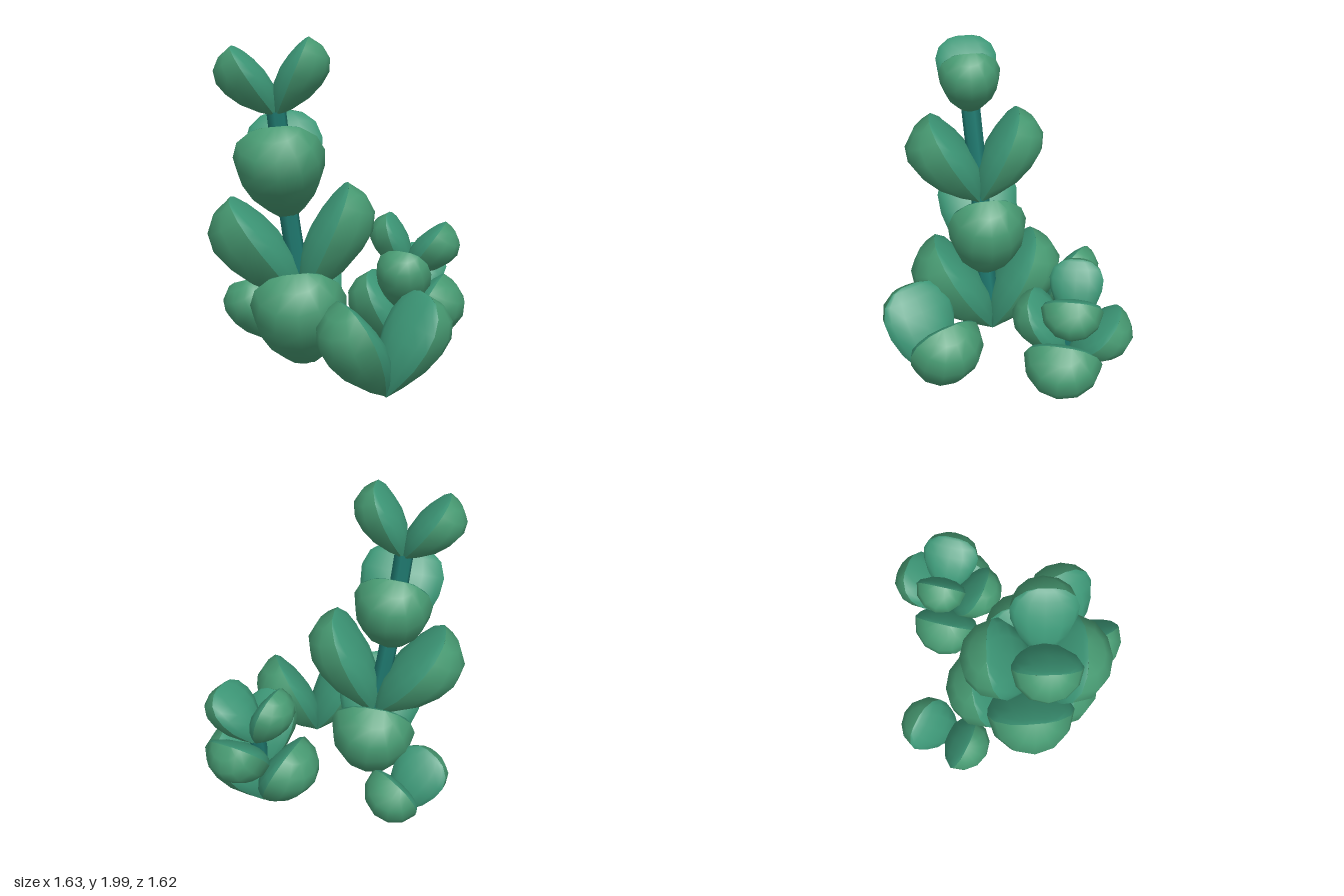
import * as THREE from 'three';

const leafMat = new THREE.MeshStandardMaterial({ color: 0x479a72, side: THREE.DoubleSide });
const innerMat = new THREE.MeshStandardMaterial({ color: 0x3c9676, side: THREE.DoubleSide });
const stemMat = new THREE.MeshStandardMaterial({ color: 0x1f7a70 });

// Unit leaf: rows of [along, half width, outer bulge, inner bulge]
const PROFILE = [
  [0, 0.09, 0, 0], [0.15, 0.23, 0.19, 0.15], [0.35, 0.39, 0.37, 0.23], [0.55, 0.48, 0.47, 0.23],
  [0.72, 0.5, 0.5, 0.18], [0.87, 0.43, 0.43, 0.11], [0.97, 0.27, 0.25, 0.04], [1, 0.13, 0, 0],
];
const COLS = 6;

// One side of the leaf: side 1 is the fat outer side, side -1 the shallower inner side
function leafSide(side) {
  const pos = [], idx = [], n = COLS + 1;
  for (const [t, a, outer, inner] of PROFILE) {
    const bulge = side > 0 ? outer : -inner;
    for (let j = 0; j <= COLS; j++) {
      const phi = (Math.PI * j) / COLS;
      pos.push(-a * Math.cos(phi), t, bulge * Math.sin(phi));
    }
  }
  for (let i = 0; i < PROFILE.length - 1; i++) {
    for (let j = 0; j < COLS; j++) {
      const p = i * n + j, q = p + 1, r = p + n, s = r + 1;
      if (side > 0) idx.push(p, q, s, p, s, r);
      else idx.push(p, s, q, p, r, s);
    }
  }
  const g = new THREE.BufferGeometry();
  g.setAttribute('position', new THREE.Float32BufferAttribute(pos, 3));
  g.setIndex(idx);
  g.computeVertexNormals();
  return g;
}
const outerGeo = leafSide(1);
const innerGeo = leafSide(-1);

// Leaf from base towards tip, its fat side turned away from the opposite leaf
function leaf(base, tip, otherTip, width) {
  const d = tip.clone().sub(base), length = d.length();
  d.normalize();
  const other = otherTip.clone().sub(base).normalize();
  const n = d.clone().sub(other);
  n.addScaledVector(d, -n.dot(d)).normalize();
  const w = d.clone().cross(n);
  const g = new THREE.Group();
  g.name = 'leaf';
  const outer = new THREE.Mesh(outerGeo, leafMat);
  outer.name = 'leafOuterSide';
  const inner = new THREE.Mesh(innerGeo, innerMat);
  inner.name = 'leafInnerSide';
  g.add(outer, inner);
  g.quaternion.setFromRotationMatrix(new THREE.Matrix4().makeBasis(w, d, n));
  g.position.copy(base);
  g.scale.set(width, length, width);
  return g;
}

// Two opposite leaves: [base, tipA, tipB, widthA, widthB]
function leafPair([base, tipA, tipB, widthA, widthB]) {
  const [o, a, b] = [base, tipA, tipB].map((p) => new THREE.Vector3(...p));
  const g = new THREE.Group();
  g.name = 'leafPair';
  g.add(leaf(o, a, b, widthA), leaf(o, b, a, widthB));
  return g;
}

// Six-sided stem, starting and ending inside the leaf pairs
function stem(points, radius) {
  const curve = new THREE.CatmullRomCurve3(points.map((p) => new THREE.Vector3(...p)));
  const mesh = new THREE.Mesh(new THREE.TubeGeometry(curve, 8, radius, 6), stemMat);
  mesh.name = 'stem';
  return mesh;
}

function plant(name, pairs, radius) {
  const g = new THREE.Group();
  g.name = name;
  pairs.forEach((p) => g.add(leafPair(p)));
  if (pairs.length > 1) {
    const points = pairs.map(([[x, y, z]], i) => [x, i === 0 ? y + 0.1 : y + 0.03, z]);
    g.add(stem(points, radius));
  }
  return g;
}

export function createModel() {
  const model = new THREE.Group();
  model.name = 'succulent';
  model.add(
    // Tall plant, pairs crossing at right angles
    plant('tallPlant', [
      [[-0.08, 0.06, 0.29], [0.11, 0.71, 0.59], [-0.32, 0.72, 0.11], 0.55, 0.52],
      [[-0.08, 0.48, 0.33], [-0.37, 1.08, 0.62], [0.13, 1.16, 0.15], 0.52, 0.48],
      [[-0.12, 0.97, 0.39], [0.03, 1.53, 0.65], [-0.32, 1.56, 0.23], 0.51, 0.46],
      [[-0.14, 1.56, 0.46], [-0.32, 1.95, 0.63], [0.01, 2, 0.35], 0.37, 0.36],
    ], 0.058),
    // Short plant at the back
    plant('shortPlant', [
      [[0.12, 0.01, -0.4], [0.34, 0.5, -0.52], [-0.09, 0.5, -0.33], 0.47, 0.43],
      [[0.13, 0.25, -0.42], [0.05, 0.63, -0.73], [0.25, 0.7, -0.23], 0.37, 0.35],
      [[0.11, 0.49, -0.46], [0, 0.88, -0.4], [0.33, 0.83, -0.56], 0.32, 0.36],
    ], 0.05),
    // Seedlings of a single pair on either side
    plant('leftSeedling', [[[0.5, 0.01, 0.29], [0.43, 0.58, 0.54], [0.64, 0.58, 0.08], 0.46, 0.46]]),
    plant('rightSeedling', [[[-0.52, 0.06, 0.11], [-0.69, 0.47, -0.05], [-0.63, 0.47, 0.31], 0.36, 0.35]]),
  );
  return model;
}
